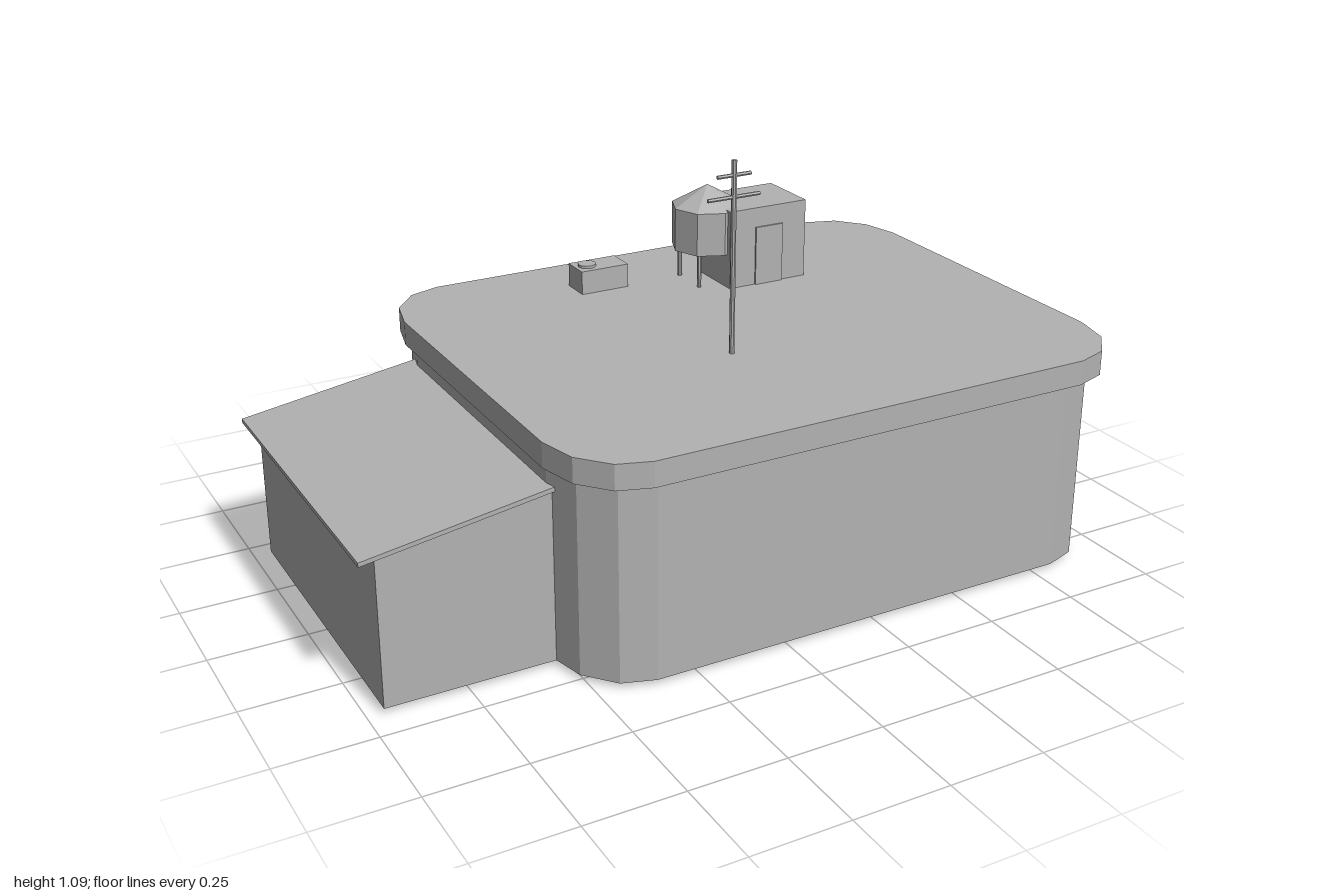
import * as THREE from 'three';

const grey = new THREE.MeshStandardMaterial({ color: 0xb2b2b2 });

export function createModel() {
  const model = new THREE.Group();

  function add(name, geometry, x = 0, y = 0, z = 0) {
    const mesh = new THREE.Mesh(geometry, grey);
    mesh.name = name;
    mesh.position.set(x, y, z);
    model.add(mesh);
    return mesh;
  }

  // Box given by its limits
  function box(name, x0, x1, y0, y1, z0, z1) {
    return add(name, new THREE.BoxGeometry(x1 - x0, y1 - y0, z1 - z0),
      (x0 + x1) / 2, (y0 + y1) / 2, (z0 + z1) / 2);
  }

  // Cylinder or cone with faceted sides
  function round(name, rTop, rBottom, y0, y1, sides, x, z) {
    const g = new THREE.CylinderGeometry(rTop, rBottom, y1 - y0, sides).toNonIndexed();
    g.computeVertexNormals();
    return add(name, g, x, (y0 + y1) / 2, z);
  }

  const polygon = pts => new THREE.Shape(pts.map(p => new THREE.Vector2(p[0], p[1])));

  // Upright panel drawn in x and y, running from z0 to z1
  function panel(name, shape, z0, z1) {
    const g = new THREE.ExtrudeGeometry(shape, { depth: z1 - z0, bevelEnabled: false, curveSegments: 4 });
    return add(name, g, 0, 0, z0);
  }

  // Footprint drawn in x and z, running from y0 to y1
  function storey(name, footprint, y0, y1) {
    const shape = polygon(footprint.map(([x, z]) => [x, -z]));
    const g = new THREE.ExtrudeGeometry(shape, { depth: y1 - y0, bevelEnabled: false });
    g.rotateX(-Math.PI / 2);
    return add(name, g, 0, y0, 0);
  }

  // Footprint with three-facet corners, starting at the back left
  const corner = [[0, 0.21], [0.025, 0.105], [0.09, 0.028], [0.175, 0]];
  function footprint(x0, x1, z0, z1) {
    const back = corner.slice().reverse();
    return [
      ...corner.map(([a, b]) => [x0 + a, z0 + b]),
      ...back.map(([a, b]) => [x1 - a, z0 + b]),
      ...corner.map(([a, b]) => [x1 - a, z1 - b]),
      ...back.map(([a, b]) => [x0 + a, z1 - b]),
    ];
  }

  function roundedRect(Type, x0, x1, y0, y1, r) {
    const p = new Type();
    p.moveTo(x0 + r, y0);
    p.lineTo(x1 - r, y0);
    p.quadraticCurveTo(x1, y0, x1, y0 + r);
    p.lineTo(x1, y1 - r);
    p.quadraticCurveTo(x1, y1, x1 - r, y1);
    p.lineTo(x0 + r, y1);
    p.quadraticCurveTo(x0, y1, x0, y1 - r);
    p.lineTo(x0, y0 + r);
    p.quadraticCurveTo(x0, y0, x0 + r, y0);
    return p;
  }

  // Window: a hole in the wall and a slim frame standing proud of it
  function addWindow(name, wall, x0, x1, y0, y1, wallZ) {
    const w = 0.018, r = 0.05;
    const hole = () => roundedRect(THREE.Path, x0 + w, x1 - w, y0 + w, y1 - w, r - w / 2);
    wall.holes.push(hole());
    const ring = roundedRect(THREE.Shape, x0, x1, y0, y1, r);
    ring.holes.push(hole());
    panel(name, ring, wallZ - 0.008, wallZ + 0.001);
  }

  const base = 0.015, eaves = 0.525, deck = 0.59;

  // Main building, with its back wall set in as a separate panel
  const bx0 = -0.535, bx1 = 0.975, bz = 0.61, inner = -0.58;
  const plan = footprint(bx0, bx1, -bz, bz);
  const wx0 = bx0 + 0.175, wx1 = bx1 - 0.175;
  plan.splice(4, 0, [wx0, inner], [wx1, inner]);
  storey('mainBuilding', plan, base, eaves);
  storey('roofSlab', footprint(-0.555, 1, -0.635, 0.635), eaves, deck);

  // Back wall with an open doorway and a window
  const backWall = new THREE.Shape();
  const d0 = 0.345, d1 = 0.645, top = 0.365, dr = 0.08;
  backWall.moveTo(wx0, base);
  backWall.lineTo(d0, base);
  backWall.lineTo(d0, top - dr);
  backWall.quadraticCurveTo(d0, top, d0 + dr, top);
  backWall.lineTo(d1 - dr, top);
  backWall.quadraticCurveTo(d1, top, d1, top - dr);
  backWall.lineTo(d1, base);
  backWall.lineTo(wx1, base);
  backWall.lineTo(wx1, eaves);
  backWall.lineTo(wx0, eaves);
  backWall.closePath();
  addWindow('mainWindowFrame', backWall, -0.285, 0.115, 0.155, 0.37, -bz);
  panel('backWall', backWall, -bz, inner);
  box('windowCounter', -0.12, 0.01, 0, 0.2, -0.597, -0.578);

  // Side annex with a lean-to roof
  const annexPoints = [[-0.96, base], [-0.52, base], [-0.52, 0.463], [-0.96, 0.397]];
  panel('annex', polygon(annexPoints), -0.4, 0.42);
  const annexWall = polygon(annexPoints);
  addWindow('annexWindowFrame', annexWall, -0.87, -0.63, 0.15, 0.36, -0.43);
  panel('annexBackWall', annexWall, -0.43, -0.4);
  panel('annexRoof', polygon([[-1, 0.391], [-0.52, 0.463], [-0.52, 0.475], [-1, 0.402]]), -0.44, 0.43);

  // Stair hut on the roof
  box('stairHut', 0.32, 0.56, deck, 0.81, -0.417, -0.235);
  box('stairHutDoor', 0.4, 0.485, deck, 0.755, -0.236, -0.23);

  // Water tank on four legs
  const tx = 0.31, tz = -0.345;
  round('waterTank', 0.1, 0.1, 0.685, 0.805, 8, tx, tz);
  round('waterTankLid', 0, 0.1, 0.805, 0.862, 8, tx, tz);
  for (const sx of [-1, 1]) for (const sz of [-1, 1]) {
    round('waterTankLeg', 0.006, 0.006, deck, 0.69, 8, tx + sx * 0.055, tz + sz * 0.055);
  }

  // Ventilation unit
  box('ventUnit', -0.055, 0.085, deck, 0.655, -0.47, -0.387);
  round('ventFan', 0.025, 0.025, 0.655, 0.662, 12, -0.02, -0.428);

  // Aerial with two crossbars
  const ax = 0.087, az = 0.172;
  round('aerialMast', 0.007, 0.007, deck, 1.09, 8, ax, az);
  for (const [y, half] of [[0.997, 0.073], [1.052, 0.047]]) {
    const bar = round('aerialCrossbar', 0.005, 0.005, y - half, y + half, 6, ax, az);
    bar.rotation.z = Math.PI / 2;
  }

  return model;
}
